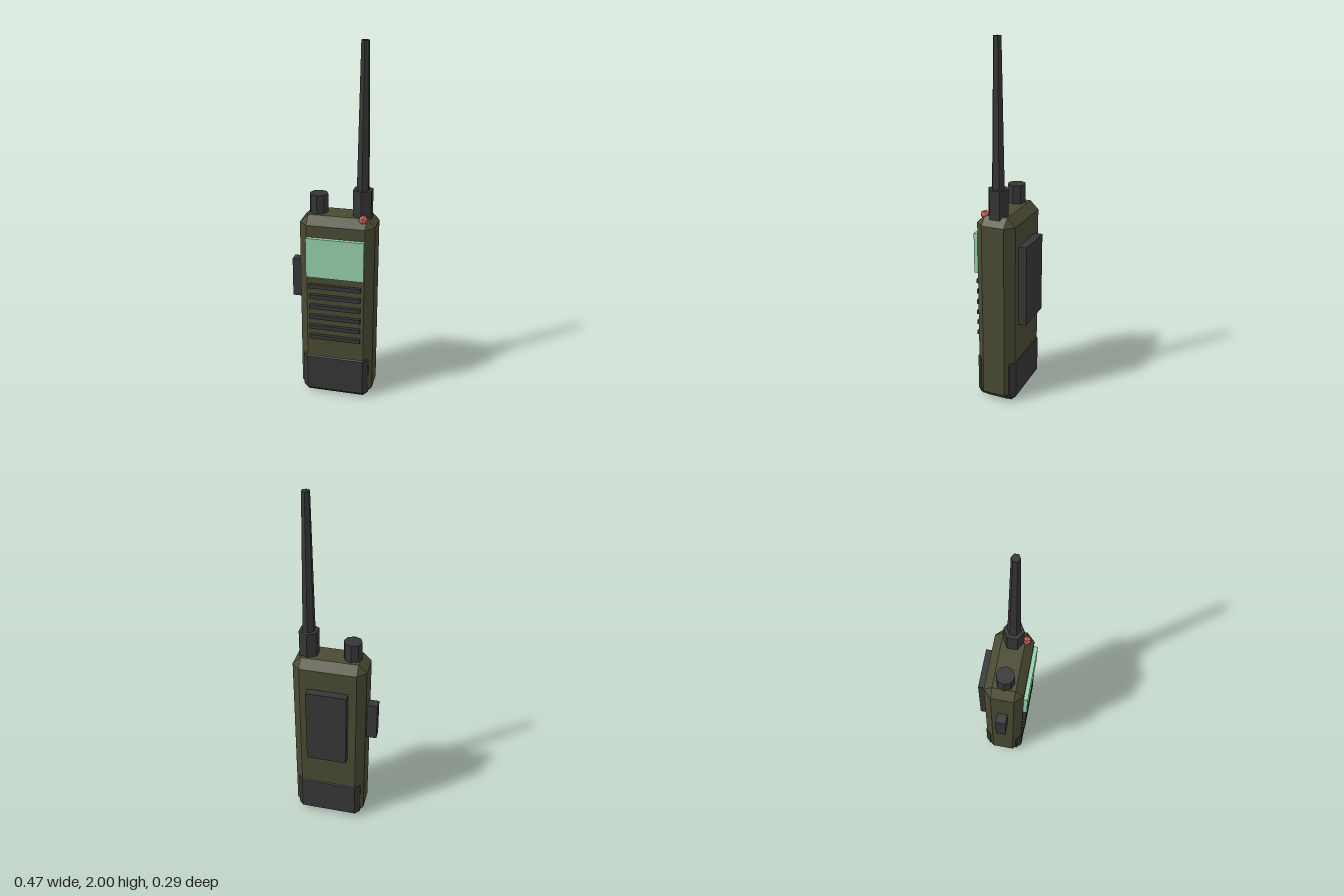
import * as THREE from 'three';
import { ConvexGeometry } from 'three/addons/geometries/ConvexGeometry.js';

const mat = (name, color) => {
  const m = new THREE.MeshStandardMaterial({ color, flatShading: true });
  m.name = name;
  return m;
};

// Box with all edges and corners cut at 45 degrees; min and max are opposite corners
function chamferedBox(min, max, bevel) {
  const points = [];
  for (let corner = 0; corner < 8; corner++) {
    for (let outer = 0; outer < 3; outer++) {
      const p = [0, 1, 2].map((axis) => {
        const high = (corner >> axis) & 1;
        const inset = axis === outer ? 0 : bevel;
        return high ? max[axis] - inset : min[axis] + inset;
      });
      points.push(new THREE.Vector3(...p));
    }
  }
  return new ConvexGeometry(points);
}

function box(min, max) {
  const g = new THREE.BoxGeometry(max[0] - min[0], max[1] - min[1], max[2] - min[2]);
  return g.translate((min[0] + max[0]) / 2, (min[1] + max[1]) / 2, (min[2] + max[2]) / 2);
}

function post(x, z, y0, y1, r0, r1, sides) {
  return new THREE.CylinderGeometry(r1, r0, y1 - y0, sides).translate(x, (y0 + y1) / 2, z);
}

export function createModel() {
  const olive = mat('olive casing', 0x4a4a34);
  const dark = mat('dark rubber', 0x363637);
  const green = mat('pale green screen', 0x96d0ac);
  const red = mat('red light', 0xd9695a);

  const model = new THREE.Group();
  model.name = 'handheldRadio';
  const add = (name, geometry, material) => {
    const mesh = new THREE.Mesh(geometry, material);
    mesh.name = name;
    model.add(mesh);
  };

  // Casing and the rubber boot around its foot
  add('body', chamferedBox([-0.178, 0, -0.099], [0.233, 1.087, 0.12], 0.046), olive);
  add('lowerGrip', chamferedBox([-0.161, 0.003, -0.104], [0.215, 0.268, 0.126], 0.028), dark);

  // Front: screen and speaker slats
  add('screen', box([-0.131, 0.748, 0.1], [0.187, 0.975, 0.142]), green);
  for (let i = 0; i < 6; i++) {
    const y = 0.69 - i * 0.0628;
    add('speakerSlat', box([-0.117, y - 0.012, 0.1], [0.17, y + 0.012, 0.138]), dark);
  }

  // Side talk button and back clip plate
  add('talkButton', box([-0.235, 0.575, -0.018], [-0.15, 0.8, 0.039]), dark);
  add('backPlate', box([-0.086, 0.462, -0.143], [0.142, 0.918, -0.08]), dark);

  // Top: knob, antenna and signal light
  add('knob', post(-0.087, 0.011, 1.05, 1.19, 0.051, 0.051, 8), dark);
  add('antennaBase', post(0.154, 0.011, 1.05, 1.23, 0.057, 0.057, 6), dark);
  add('antenna', post(0.154, 0.011, 1.1, 2, 0.038, 0.022, 6), dark);
  add('signalLight', new THREE.IcosahedronGeometry(0.027).translate(0.17, 1.083, 0.08), red);

  return model;
}
